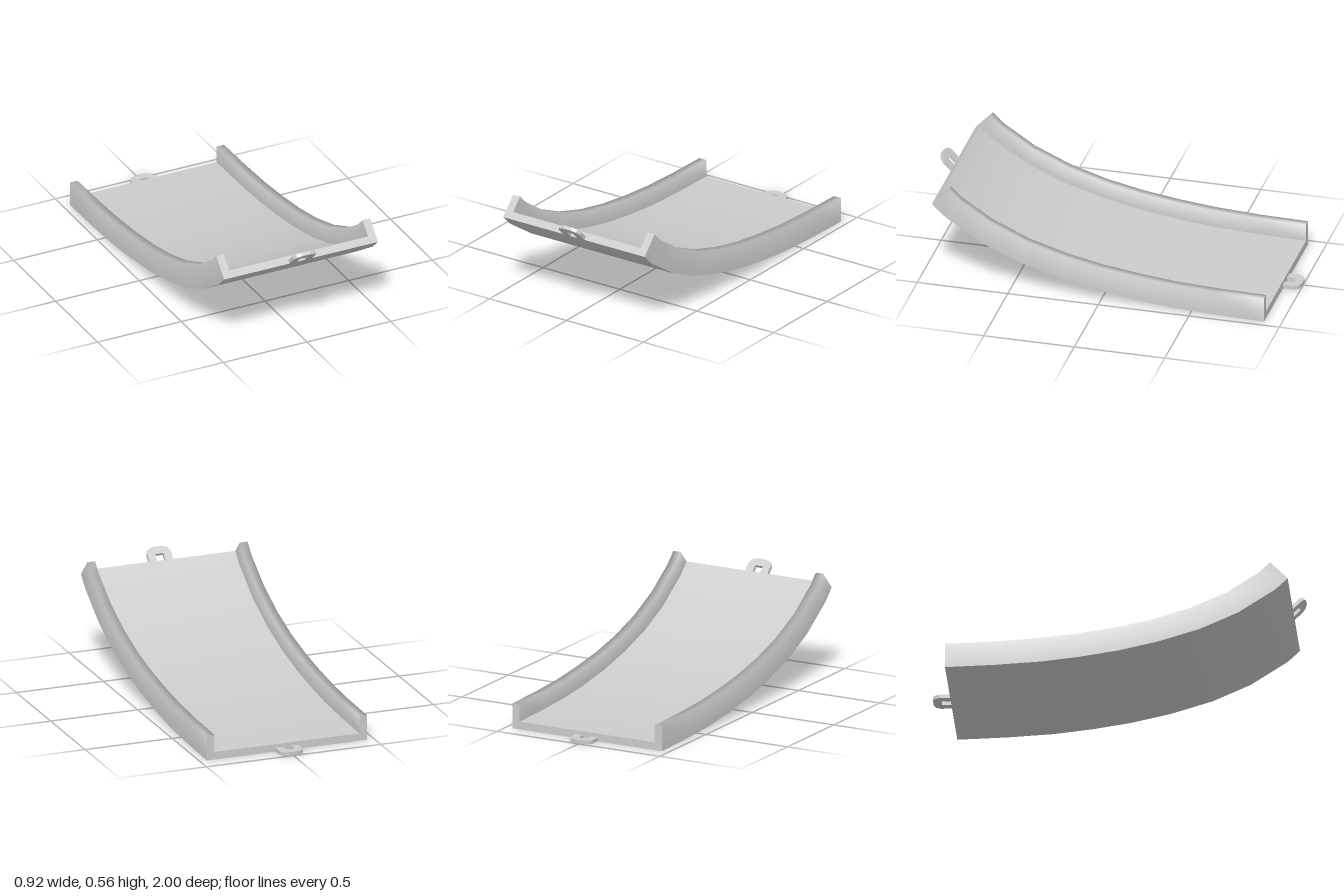
import * as THREE from 'three';

const material = new THREE.MeshStandardMaterial({ color: 0xcccccc });

// Stations along the channel, back to front: [bottom z, bottom y, top z, top y]
const stations = [
  [-0.905, 0, -0.905, 0.138], [-0.63, 0.005, -0.637, 0.143], [-0.39, 0.016, -0.41, 0.154],
  [-0.185, 0.037, -0.205, 0.174], [0.02, 0.067, 0, 0.202], [0.235, 0.113, 0.2, 0.243],
  [0.46, 0.18, 0.405, 0.304], [0.665, 0.27, 0.605, 0.392], [0.865, 0.4, 0.775, 0.502],
  [0.93, 0.462, 0.837, 0.56],
];
const outer = 0.46, inner = 0.415, floorHeight = 0.31;

// Point at sideways offset x and height fraction h on one station
const place = (x, h, [bz, by, tz, ty]) => [x, by + (ty - by) * h, bz + (tz - bz) * h];

// Smooth surface sweeping an open profile of [x, h] points along the stations
function sweep(profile) {
  const positions = [], index = [], n = profile.length;
  stations.forEach((s, i) => {
    profile.forEach(([x, h], j) => {
      positions.push(...place(x, h, s));
      if (i === 0 || j === 0) return;
      const c = i * n + j, d = c - 1, b = c - n, a = b - 1;
      index.push(a, b, c, a, c, d);
    });
  });
  const geo = new THREE.BufferGeometry();
  geo.setAttribute('position', new THREE.Float32BufferAttribute(positions, 3));
  geo.setIndex(index);
  geo.computeVertexNormals();
  return geo;
}

// Flat U-shaped end face; side is 1 at the front, -1 at the back
function endCap(station, side) {
  const outline = [[-outer, 0], [outer, 0], [outer, 1], [inner, 1], [inner, floorHeight],
    [-inner, floorHeight], [-inner, 1], [-outer, 1]];
  const geo = new THREE.ShapeGeometry(new THREE.Shape(outline.map((p) => new THREE.Vector2(...p))));
  const pos = geo.attributes.position;
  for (let i = 0; i < pos.count; i++) {
    pos.setXYZ(i, ...place(pos.getX(i) * side, pos.getY(i), station));
  }
  geo.computeVertexNormals();
  return geo;
}

// Flat connector loop with a chamfered tip, open towards the channel
function loopGeometry(thickness) {
  const half = [[0.023, 0.05], [0.023, -0.002], [0.068, -0.002], [0.068, 0.06], [0.055, 0.084], [0.024, 0.095]];
  const mirrored = half.map(([x, y]) => [-x, y]).reverse();
  const shape = new THREE.Shape([...half, ...mirrored].map((p) => new THREE.Vector2(...p)));
  return new THREE.ExtrudeGeometry(shape, { depth: thickness, bevelEnabled: false });
}

export function createModel() {
  const model = new THREE.Group();
  const add = (name, geo, parent = model) => {
    const mesh = new THREE.Mesh(geo, material);
    mesh.name = name;
    parent.add(mesh);
    return mesh;
  };

  // Curved channel: underside, floor, side walls and end faces
  const channel = new THREE.Group();
  channel.name = 'channel';
  model.add(channel);
  add('underside', sweep([[-outer, 0], [outer, 0]]), channel);
  add('floor', sweep([[inner, floorHeight], [-inner, floorHeight]]), channel);
  add('leftWall', sweep([[outer, 0], [outer, 1], [inner, 1], [inner, floorHeight]]), channel);
  add('rightWall', sweep([[-inner, floorHeight], [-inner, 1], [-outer, 1], [-outer, 0]]), channel);
  add('frontEnd', endCap(stations[stations.length - 1], 1), channel);
  add('backEnd', endCap(stations[0], -1), channel);

  // Connector loops, each in line with its end of the floor
  const thickness = 0.02;
  const front = add('frontLoop', loopGeometry(thickness).translate(0, 0, -thickness));
  front.rotation.x = Math.PI / 4;
  front.position.set(0, 0.463, 0.931);
  const back = add('backLoop', loopGeometry(thickness));
  back.rotation.x = -Math.PI / 2;
  back.position.set(0, 0.002, -0.905);

  return model;
}
